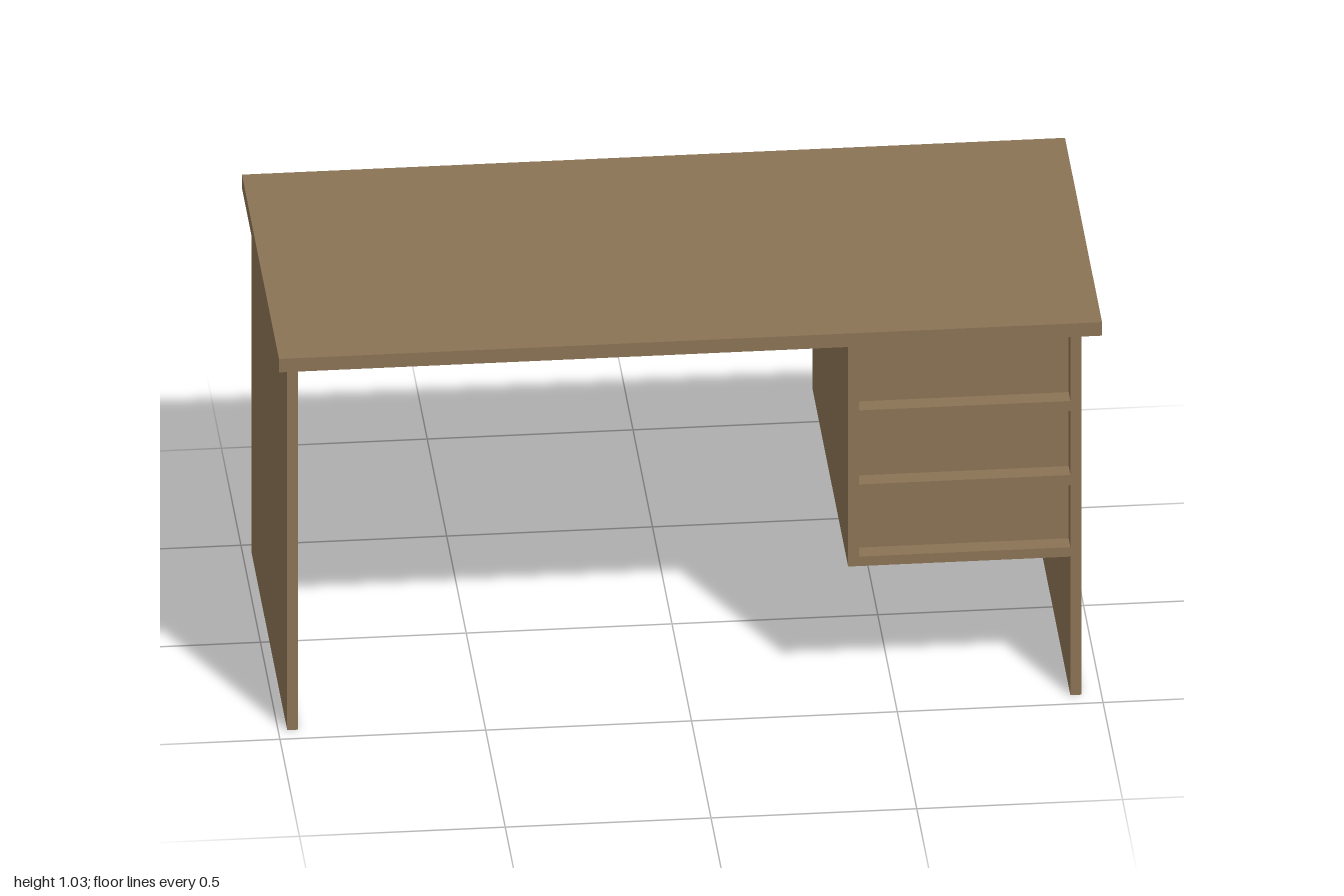
import * as THREE from 'three';

export function createModel() {
  const desk = new THREE.Group();
  desk.name = 'desk';
  const wood = new THREE.MeshStandardMaterial({ color: 0x8b7355 });
  wood.name = 'brown wood';

  // Box given by its lower and upper limits on each axis
  function slab(name, [x0, x1], [y0, y1], [z0, z1], parent = desk) {
    const mesh = new THREE.Mesh(new THREE.BoxGeometry(x1 - x0, y1 - y0, z1 - z0), wood);
    mesh.position.set((x0 + x1) / 2, (y0 + y1) / 2, (z0 + z1) / 2);
    mesh.name = name;
    parent.add(mesh);
  }

  const top = 0.993, back = -0.465, front = 0.455, recess = 0.409;

  // Desktop and side panels
  slab('desktop', [-1, 1], [top, 1.03], [-0.475, 0.475]);
  slab('rightSidePanel', [-0.978, -0.952], [0, top], [back, front]);
  slab('leftSidePanel', [0.925, 0.952], [0, top], [back, front]);

  // Drawer unit: body behind, front frame with recessed drawer fronts
  const unit = new THREE.Group();
  unit.name = 'drawerUnit';
  desk.add(unit);
  slab('drawerBody', [0.385, 0.925], [0.38, top], [back, recess], unit);
  slab('frameUpright', [0.385, 0.411], [0.38, top], [recess, front], unit);
  for (const [y0, y1] of [[0.38, 0.406], [0.576, 0.604], [0.78, 0.807]]) {
    slab('frameRail', [0.411, 0.925], [y0, y1], [recess, front], unit);
  }
  return desk;
}
